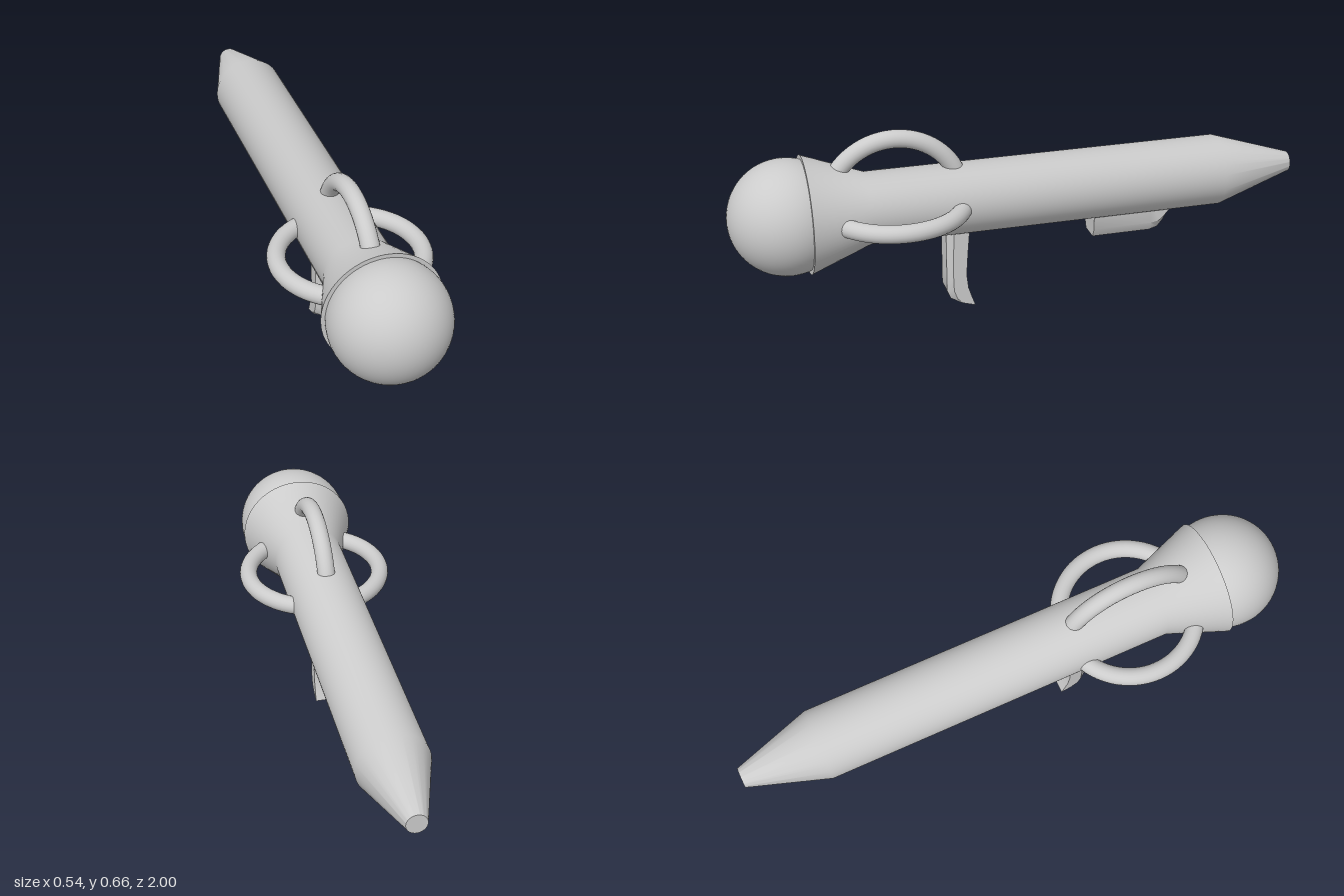
import * as THREE from 'three';
import { toCreasedNormals } from 'three/addons/utils/BufferGeometryUtils.js';

const AXIS_Y = 0.392;
const material = new THREE.MeshStandardMaterial({ color: 0xcccccc });

function part(name, geometry) {
  const mesh = new THREE.Mesh(geometry, material);
  mesh.name = name;
  return mesh;
}

// Lofts a bar with two chamfered edges. Each row is [narrowY, narrowZ, wideY, wideZ].
function chamferedBar(rows, narrow, wide, chamfer) {
  const positions = [], index = [], n = 6;
  rows.forEach(([ny, nz, wy, wz, nx = narrow]) => {
    const my = ny + (wy - ny) * chamfer, mz = nz + (wz - nz) * chamfer;
    positions.push(nx, ny, nz, wide, my, mz, wide, wy, wz,
      -wide, wy, wz, -wide, my, mz, -nx, ny, nz);
  });
  for (let i = 0; i < rows.length - 1; i++) {
    for (let j = 0; j < n; j++) {
      const a = i * n + j, b = i * n + (j + 1) % n;
      index.push(a, a + n, b, b, a + n, b + n);
    }
  }
  const last = (rows.length - 1) * n;
  for (let j = 1; j < n - 1; j++) {
    index.push(0, j, j + 1, last, last + j + 1, last + j);
  }
  const geometry = new THREE.BufferGeometry();
  geometry.setAttribute('position', new THREE.Float32BufferAttribute(positions, 3));
  geometry.setIndex(index);
  return toCreasedNormals(geometry, 0.5);
}

export function createModel() {
  const group = new THREE.Group();

  // Tube body: blunt tapered tail, straight barrel, flared mouth
  const profile = [[0, -1], [0.035, -1], [0.124, -0.72], [0.124, 0.53], [0.202, 0.74], [0, 0.74]]
    .map(([r, z]) => new THREE.Vector2(r, z));
  const body = part('body', toCreasedNormals(new THREE.LatheGeometry(profile, 64).rotateX(Math.PI / 2), 0.5));
  body.position.y = AXIS_Y;
  group.add(body);

  // Ball in the mouth
  const ball = part('ball', new THREE.SphereGeometry(0.198, 64, 40));
  ball.position.set(0, AXIS_Y, 0.802);
  group.add(ball);

  // Three looped handles: top, left and right
  const arc = [];
  for (let i = 0; i <= 14; i++) {
    const a = Math.PI * (0.12 + 0.76 * i / 14);
    arc.push(new THREE.Vector3(0, 0.003 + 0.236 * Math.sin(a), 0.435 + 0.236 * Math.cos(a)));
  }
  const handleGeometry = new THREE.TubeGeometry(new THREE.CatmullRomCurve3(arc), 28, 0.031, 20);
  [['topHandle', 0], ['leftHandle', -Math.PI / 2], ['rightHandle', Math.PI / 2]].forEach(([name, angle]) => {
    const handle = part(name, handleGeometry);
    handle.position.y = AXIS_Y;
    handle.rotation.z = angle;
    group.add(handle);
  });

  // Grip: chamfered front edges, lower end kicked backwards
  group.add(part('grip', chamferedBar([
    [0.3, 0.267, 0.3, 0.187],
    [0.2, 0.267, 0.2, 0.195],
    [0.12, 0.267, 0.12, 0.2],
    [0.06, 0.267, 0.07, 0.194],
    [0.03, 0.255, 0.03, 0.181],
    [0.014, 0.22, 0, 0.17, 0.05],
  ], 0.037, 0.053, 0.3)));

  // Rest under the tail: chamfered bottom edges, rounded up at the back
  group.add(part('rest', chamferedBar([
    [0.203, -0.26, 0.31, -0.26],
    [0.203, -0.47, 0.31, -0.47],
    [0.212, -0.5, 0.31, -0.5],
    [0.237, -0.52, 0.31, -0.52],
    [0.28, -0.545, 0.31, -0.545],
  ], 0.037, 0.053, 0.3)));

  return group;
}
